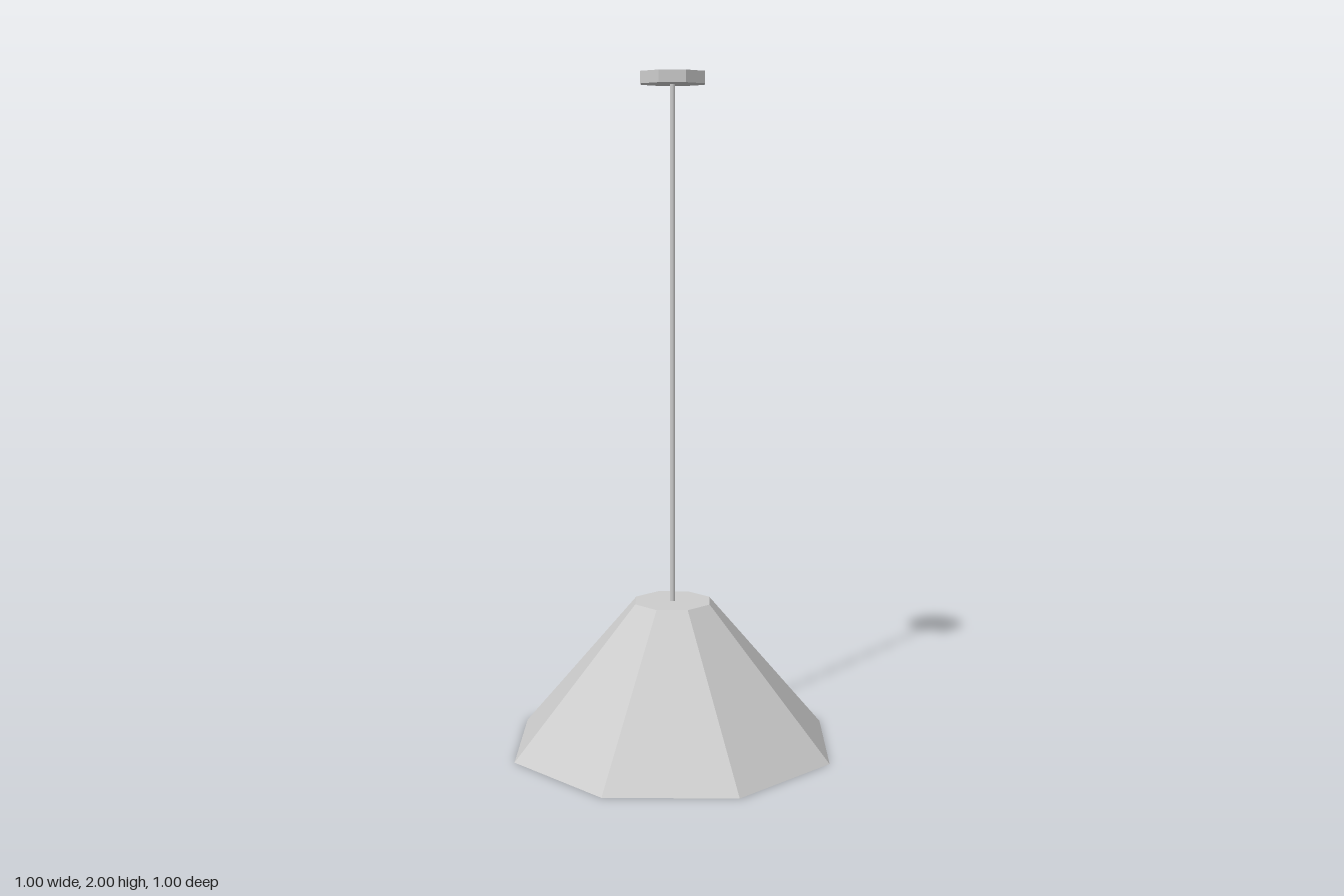
import * as THREE from 'three';

const SIDES = 8;

export function createModel() {
  const group = new THREE.Group();
  const grey = new THREE.MeshStandardMaterial({ color: 0xcccccc, flatShading: true });
  grey.name = 'light grey';

  // Upright octagonal part spanning bottom to top
  const addPart = (name, topRadius, bottomRadius, bottom, top) => {
    const geometry = new THREE.CylinderGeometry(topRadius, bottomRadius, top - bottom, SIDES);
    const mesh = new THREE.Mesh(geometry, grey);
    mesh.name = name;
    mesh.position.y = (bottom + top) / 2;
    group.add(mesh);
  };

  addPart('lampShade', 0.12, 0.5, 0, 0.44);
  addPart('hangingRod', 0.008, 0.008, 0.44, 1.965);
  addPart('ceilingMount', 0.1, 0.1, 1.965, 2);

  return group;
}
